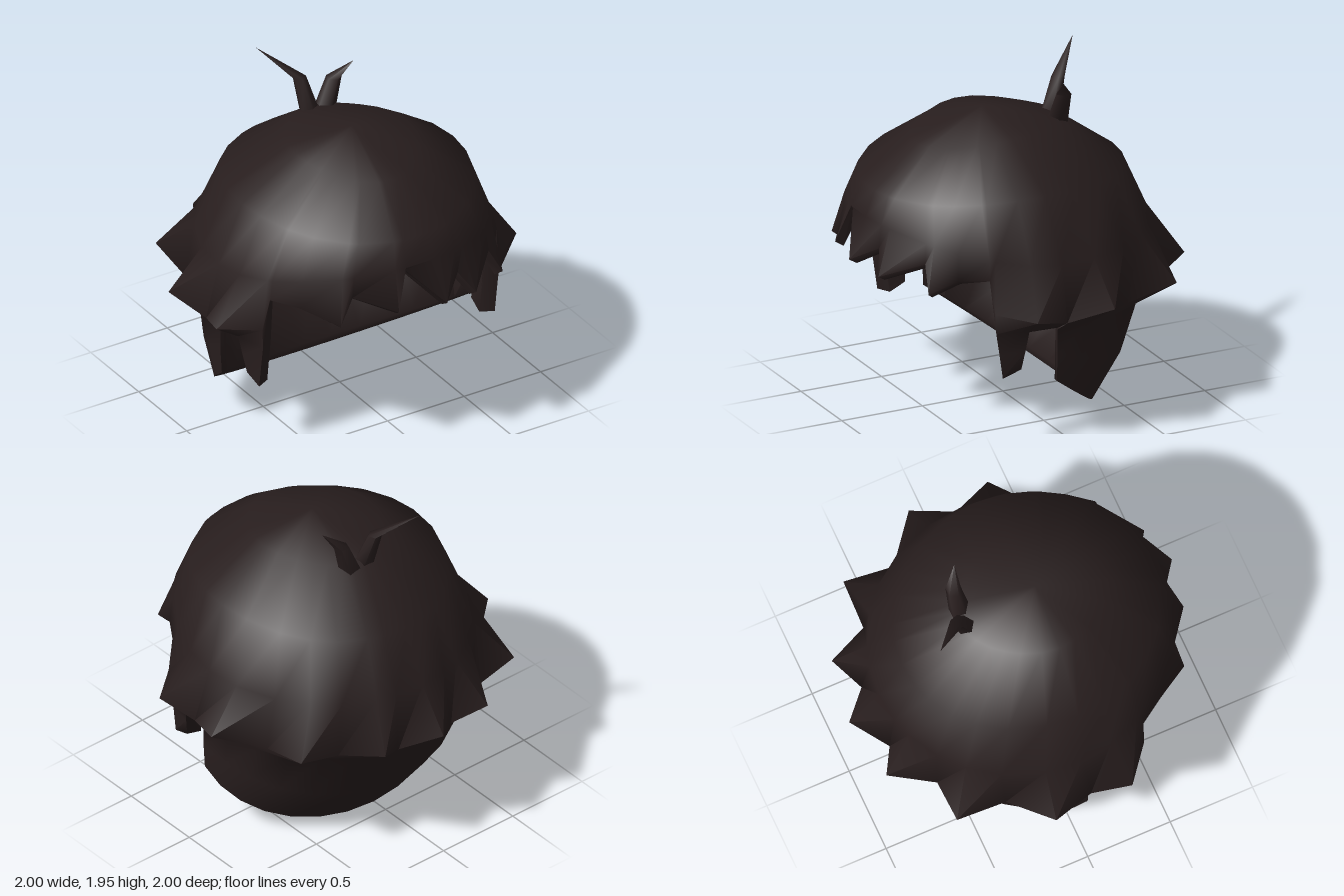
import * as THREE from 'three';
import { toCreasedNormals } from 'three/addons/utils/BufferGeometryUtils.js';

// Skin a loop of columns (each a list of points, top to bottom, clockwise from above).
function loft(columns, crease) {
  const pos = [];
  const a = new THREE.Vector3(), b = new THREE.Vector3();
  const tri = (p, q, r) => {
    a.subVectors(q, p); b.subVectors(r, p);
    if (a.cross(b).length() > 1e-6) for (const v of [p, q, r]) pos.push(v.x, v.y, v.z);
  };
  columns.forEach((c, i) => {
    const n = columns[(i + 1) % columns.length];
    for (let j = 0; j < c.length - 1; j++) {
      tri(c[j], n[j], n[j + 1]);
      tri(c[j], n[j + 1], c[j + 1]);
    }
  });
  const g = new THREE.BufferGeometry();
  g.setAttribute('position', new THREE.Float32BufferAttribute(pos, 3));
  return toCreasedNormals(g, crease);
}

const V = (x, y, z) => new THREE.Vector3(x, y, z);
const inset = (p, s, dy) => V(p.x * s, p.y + dy, p.z * s);

// One strip of hair: over the dome, down the outside, round the rim and up the inside.
function strip(edge, under = edge, mid = under, low = mid, rim = 0.96, lift = 0) {
  const t = Math.atan2(edge.x, edge.z - 0.05), s = Math.sin(t), c = Math.cos(t);
  const f = Math.pow(Math.max(0, c), 1.5);
  const k = 4 * s * s * c * c; // slight flattening on the diagonals
  const r = 1 - 0.05 * k;
  const dome = [
    V(0, 1.72, 0.13),
    V(0.36 * s * r, 1.64 - 0.04 * c * c - 0.02 * c - 0.01 * k, 0.115 + 0.435 * c * r),
    V(0.69 * s, 1.41 - 0.05 * c * c - 0.01 * k, 0.075 + 0.755 * c),
    V(0.82 * s, 1.04 + 0.18 * f, 0.035 + 0.855 * c),
  ];
  const inner = dome.map((p) => inset(p, 0.965, -0.025)).reverse();
  return [...dome, edge, under, mid, low,
    inset(low, rim, lift), inset(mid, rim, lift / 2), inset(under, rim, 0), ...inner];
}

function hairCap() {
  const side = [];
  // Back: alternating spike tips and notches above the nape
  const skirt = [[0, 0.79, -1], [0.19, 0.7, -0.84], [0.37, 0.79, -0.94], [0.5, 0.72, -0.69],
    [0.77, 0.79, -0.69], [0.76, 0.72, -0.39], [1, 0.8, -0.19], [0.91, 0.73, 0.06]];
  skirt.forEach((e, i) => {
    const t = (i / 7) * Math.PI / 2, s = Math.sin(t), c = Math.cos(t);
    side.push(strip(V(...e),
      V(0.83 * s, 0.67 - 0.04 * c, 0.08 - 0.84 * c),
      V(0.83 * s, 0.52 - 0.24 * c, 0.08 - 0.7 * c),
      V(0.82 * s, 0.36 * (1 - c), 0.08 - 0.48 * c), 0.96, 0.05 * c));
  });
  // Side: gap over the ear, then the sideburn lock
  const notch = V(0.91, 0.73, 0.06), tip = V(0.98, 0.79, 0.28), front = V(0.78, 0.8, 0.44);
  side.push(strip(notch, V(0.83, 0.68, 0.08)));
  side.push(strip(tip, V(0.82, 0.68, 0.25)));
  side.push(strip(tip, V(0.82, 0.68, 0.25), V(0.8, 0.56, 0.265), V(0.78, 0.45, 0.28), 0.9));
  side.push(strip(front, V(0.77, 0.68, 0.43), V(0.77, 0.55, 0.41), V(0.77, 0.41, 0.39), 0.9));
  side.push(strip(V(0.74, 0.99, 0.455)));

  // Fringe: uneven zigzag across the forehead, its cut ends sloping down and inward
  const fringe = [[0.64, 0.98, 0.6], [0.59, 0.91, 0.76], [0.51, 1.06, 0.74], [0.31, 0.95, 0.93],
    [0.22, 1.08, 0.88], [0.08, 0.985, 0.995], [-0.12, 1.2, 0.87], [-0.2, 0.985, 0.94],
    [-0.41, 1.07, 0.79], [-0.5, 0.92, 0.81], [-0.64, 0.98, 0.6]].map((e) => {
    const p = V(...e);
    return strip(p, p, p, p, 0.95, -0.03);
  });

  const mirrored = side.slice(1).reverse().map((col) => col.map((p) => V(-p.x, p.y, p.z)));
  return loft([...side, ...fringe, ...mirrored], 1.3);
}

// Tapered, bent tuft with a five-sided section at each [x, y, z, radius] station, tip first.
function tuft(stations) {
  const columns = [];
  for (let i = 0; i < 5; i++) {
    const t = -(i / 5) * Math.PI * 2;
    columns.push(stations.map(([x, y, z, r]) => V(x + r * Math.sin(t), y, z + r * Math.cos(t))));
  }
  return loft(columns, 1.4);
}

export function createModel() {
  const group = new THREE.Group();
  const hair = new THREE.MeshStandardMaterial({ color: 0x281e1e });
  hair.name = 'darkBrownHair';
  const add = (name, geometry) => {
    const mesh = new THREE.Mesh(geometry, hair);
    mesh.name = name;
    group.add(mesh);
  };
  add('hairCap', hairCap());
  add('tallTuft', tuft([[-0.21, 1.95, -0.54, 0], [-0.04, 1.8, -0.36, 0.04], [-0.01, 1.58, -0.29, 0.06]]));
  add('shortTuft', tuft([[0.25, 1.87, -0.25, 0], [0.15, 1.77, -0.3, 0.045], [0.08, 1.58, -0.29, 0.065]]));
  return group;
}
